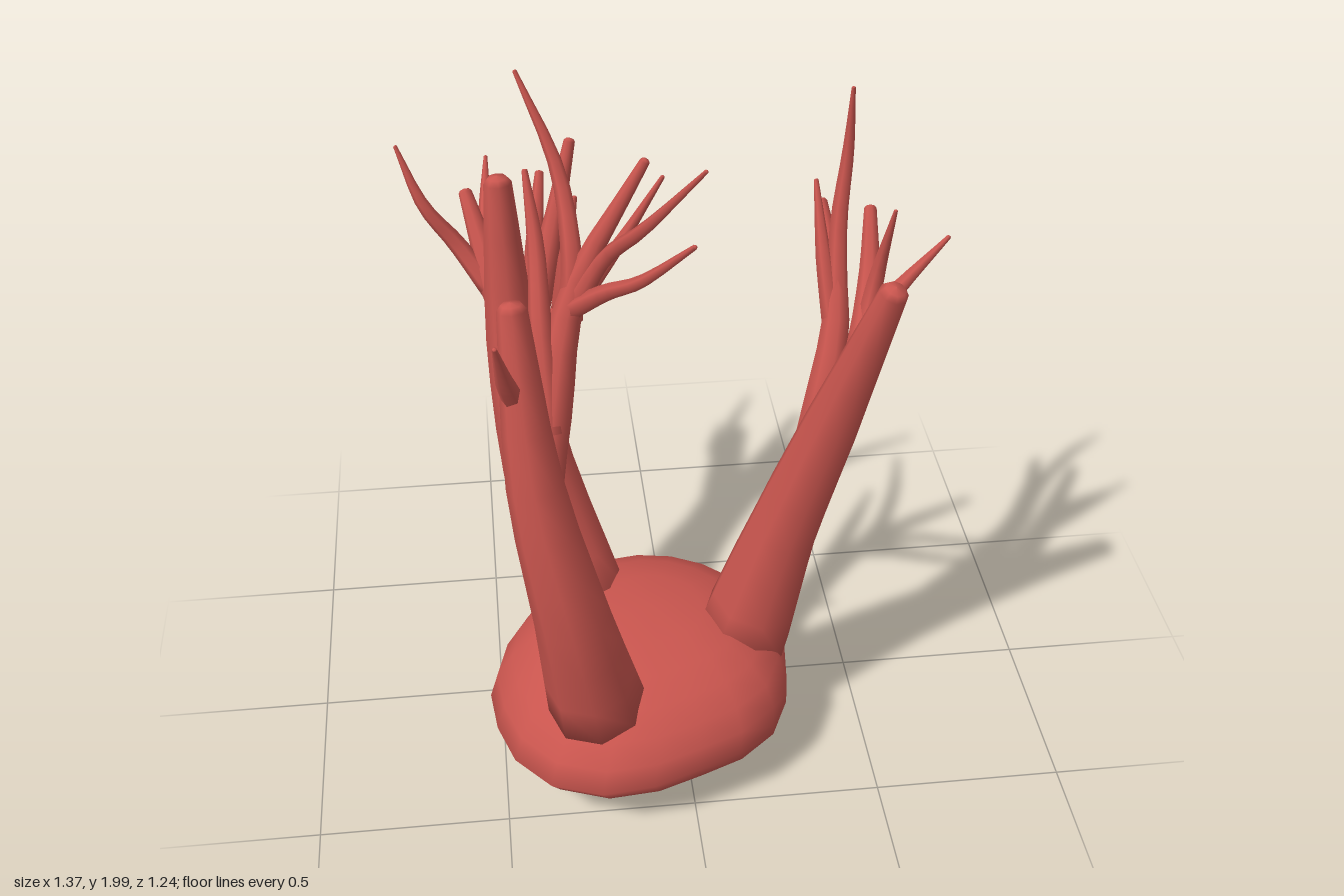
import * as THREE from 'three';
import { mergeVertices } from 'three/addons/utils/BufferGeometryUtils.js';

const coral = new THREE.MeshStandardMaterial({ color: 0xc9554e });
coral.name = 'coral red';

// Tapered limb through [x, y, z, radius] points, closed by a rounded tip
function limb(name, pts, sides = 8, steps = 10) {
  const curve = new THREE.CatmullRomCurve3(pts.map(p => new THREE.Vector3(p[0], p[1], p[2])));
  const radiusAt = t => {
    const f = t * (pts.length - 1), i = Math.min(Math.floor(f), pts.length - 2);
    return THREE.MathUtils.lerp(pts[i][3], pts[i + 1][3], f - i);
  };
  const rings = [];
  for (let i = 0; i <= steps; i++) {
    const t = i / steps;
    rings.push({ c: curve.getPoint(t), d: curve.getTangent(t), r: radiusAt(t) });
  }
  const end = rings[steps], start = rings[0];
  for (const [out, k] of [[0.4, 0.7], [0.55, 0.02]]) {
    rings.push({ c: end.c.clone().addScaledVector(end.d, end.r * out), d: end.d, r: end.r * k });
  }
  rings.unshift({ c: start.c.clone(), d: start.d, r: start.r * 0.02 });

  const pos = [], idx = [];
  let side = new THREE.Vector3(1, 0, 0);
  rings.forEach(({ c, d, r }, i) => {
    side = side.clone().addScaledVector(d, -side.dot(d)).normalize();
    const up = new THREE.Vector3().crossVectors(d, side);
    for (let j = 0; j < sides; j++) {
      const a = (j / sides) * Math.PI * 2;
      const p = c.clone().addScaledVector(side, Math.cos(a) * r).addScaledVector(up, Math.sin(a) * r);
      pos.push(p.x, p.y, p.z);
      if (i === 0) continue;
      const k = (j + 1) % sides, lo = (i - 1) * sides, hi = i * sides;
      idx.push(lo + j, lo + k, hi + j, lo + k, hi + k, hi + j);
    }
  });
  const geo = new THREE.BufferGeometry();
  geo.setAttribute('position', new THREE.Float32BufferAttribute(pos, 3));
  geo.setIndex(idx);
  geo.computeVertexNormals();
  const mesh = new THREE.Mesh(geo, coral);
  mesh.name = name;
  return mesh;
}

// Lumpy base: a sphere stretched to an irregular plan outline
function baseRock() {
  const outline = [[0.285, 0.2], [0.22, 0.44], [0, 0.57], [-0.12, 0.61], [-0.3, 0.61], [-0.43, 0.53], [-0.51, 0.35],
    [-0.53, 0.2], [-0.45, 0], [-0.23, -0.2], [-0.06, -0.2], [0.12, -0.12], [0.22, -0.02], [0.27, 0.1]];
  const cx = -0.12, cz = 0.2;
  const polar = outline.map(([x, z]) => {
    const a = Math.atan2(z - cz, x - cx);
    return [a < -1e-6 ? a + Math.PI * 2 : Math.max(a, 0), Math.hypot(x - cx, z - cz)];
  }).sort((p, q) => p[0] - q[0]);
  polar.push([polar[0][0] + Math.PI * 2, polar[0][1]]);
  const reach = angle => {
    const a = (angle + Math.PI * 2) % (Math.PI * 2);
    const i = Math.max(1, polar.findIndex(p => p[0] >= a));
    const [a0, r0] = polar[i - 1], [a1, r1] = polar[i];
    return THREE.MathUtils.lerp(r0, r1, (a - a0) / (a1 - a0));
  };
  let geo = new THREE.SphereGeometry(1, 20, 12);
  geo.deleteAttribute('uv');
  geo.deleteAttribute('normal');
  geo = mergeVertices(geo);
  const p = geo.attributes.position;
  for (let i = 0; i < p.count; i++) {
    const x = p.getX(i), y = p.getY(i), z = p.getZ(i);
    const flat = Math.hypot(x, z), r = flat < 1e-4 ? 0 : reach(Math.atan2(z, x)) * Math.pow(flat, y > 0 ? 0.8 : 0.9);
    const a = Math.atan2(z, x), lean = 1 - Math.abs(y);
    const shiftX = y < 0 ? -y * 0.06 : y * 0.04;
    p.setXYZ(i, cx + Math.cos(a) * r + shiftX,
      0.2 + y * (y > 0 ? 0.235 : 0.19) + 0.02 * lean * Math.cos(a),
      cz + Math.sin(a) * r + (y < 0 ? y * 0.07 : -y * 0.03));
  }
  geo.computeVertexNormals();
  const mesh = new THREE.Mesh(geo, coral);
  mesh.name = 'base';
  return mesh;
}

// Each stalk: one trunk, thicker stems growing off it, and thin twigs
const stalks = {
  backStalk: {
    trunk: [[-0.26, 0.33, 0.01, 0.13], [-0.36, 0.72, -0.12, 0.098], [-0.41, 1.1, -0.18, 0.07], [-0.425, 1.55, -0.2, 0.036]],
    stems: [
      [[-0.37, 0.76, -0.17, 0.04], [-0.38, 0.98, -0.26, 0.052], [-0.31, 1.22, -0.34, 0.036], [-0.23, 1.55, -0.41, 0.015]],
      [[-0.41, 1.06, -0.22, 0.035], [-0.45, 1.2, -0.3, 0.04], [-0.51, 1.41, -0.42, 0.018]],
    ],
    twigs: [
      [[-0.4, 1.0, -0.27, 0.04], [-0.46, 1.2, -0.43, 0.026], [-0.46, 1.3, -0.53, 0.018], [-0.45, 1.41, -0.62, 0.005]],
      [[-0.35, 1.15, -0.33, 0.028], [-0.33, 1.3, -0.4, 0.022], [-0.31, 1.43, -0.47, 0.012]],
      [[-0.45, 1.17, -0.29, 0.03], [-0.54, 1.3, -0.34, 0.024], [-0.62, 1.42, -0.34, 0.017], [-0.68, 1.58, -0.37, 0.005]],
      [[-0.37, 1.06, -0.22, 0.032], [-0.24, 1.16, -0.24, 0.03], [-0.13, 1.29, -0.27, 0.02], [0, 1.51, -0.26, 0.006]],
      [[-0.28, 1.13, -0.24, 0.025], [-0.26, 1.3, -0.23, 0.02], [-0.23, 1.47, -0.25, 0.007]],
    ],
  },
  frontStalk: {
    trunk: [[-0.25, 0.34, 0.43, 0.13], [-0.31, 0.7, 0.5, 0.097], [-0.385, 1.1, 0.475, 0.07], [-0.415, 1.55, 0.41, 0.036]],
    stems: [
      [[-0.36, 1.0, 0.45, 0.035], [-0.33, 1.25, 0.37, 0.048], [-0.27, 1.52, 0.3, 0.033], [-0.1, 1.85, 0.3, 0.012]],
      [[-0.34, 1.2, 0.4, 0.035], [-0.35, 1.45, 0.32, 0.027], [-0.35, 1.62, 0.24, 0.02], [-0.365, 1.78, 0.18, 0.007]],
    ],
    twigs: [
      [[-0.28, 1.45, 0.31, 0.03], [-0.27, 1.6, 0.28, 0.025], [-0.29, 1.78, 0.19, 0.018], [-0.375, 2.0, 0.12, 0.005]],
      [[-0.27, 1.48, 0.31, 0.026], [-0.2, 1.64, 0.36, 0.02], [-0.12, 1.78, 0.48, 0.015], [0, 1.97, 0.59, 0.005]],
      [[-0.28, 1.48, 0.31, 0.026], [-0.2, 1.57, 0.39, 0.02], [-0.13, 1.64, 0.47, 0.015], [-0.02, 1.78, 0.57, 0.006]],
      [[-0.42, 1.32, 0.44, 0.03], [-0.44, 1.42, 0.51, 0.023], [-0.46, 1.57, 0.6, 0.006]],
    ],
  },
  leftStalk: {
    trunk: [[0.17, 0.33, 0.18, 0.132], [0.26, 0.72, 0.23, 0.095], [0.36, 1.1, 0.3, 0.072], [0.46, 1.54, 0.42, 0.036]],
    stems: [
      [[0.29, 0.8, 0.2, 0.04], [0.36, 1.08, 0.165, 0.048], [0.4, 1.32, 0.08, 0.032], [0.375, 1.53, -0.05, 0.016]],
      [[0.38, 1.02, 0.27, 0.04], [0.445, 1.22, 0.19, 0.042], [0.48, 1.38, 0.08, 0.028], [0.49, 1.53, 0, 0.016]],
    ],
    twigs: [
      [[0.39, 1.25, 0.11, 0.028], [0.37, 1.42, 0.04, 0.02], [0.36, 1.59, -0.05, 0.006]],
      [[0.4, 1.3, 0.09, 0.028], [0.41, 1.5, 0.01, 0.022], [0.43, 1.68, -0.02, 0.015], [0.43, 1.86, 0, 0.005]],
      [[0.46, 1.27, 0.16, 0.03], [0.52, 1.35, 0.14, 0.024], [0.68, 1.47, 0.06, 0.006]],
      [[0.45, 1.24, 0.17, 0.028], [0.485, 1.4, 0.13, 0.021], [0.51, 1.62, 0.18, 0.005]],
    ],
  },
};

export function createModel() {
  const model = new THREE.Group();
  model.name = 'branchingCoral';
  model.add(baseRock());
  for (const [name, { trunk, stems, twigs }] of Object.entries(stalks)) {
    const stalk = new THREE.Group();
    stalk.name = name;
    stalk.add(limb('trunk', trunk, 8, 9));
    stems.forEach(s => stalk.add(limb('stem', s)));
    twigs.forEach(t => stalk.add(limb('twig', t, 6)));
    model.add(stalk);
  }
  return model;
}
